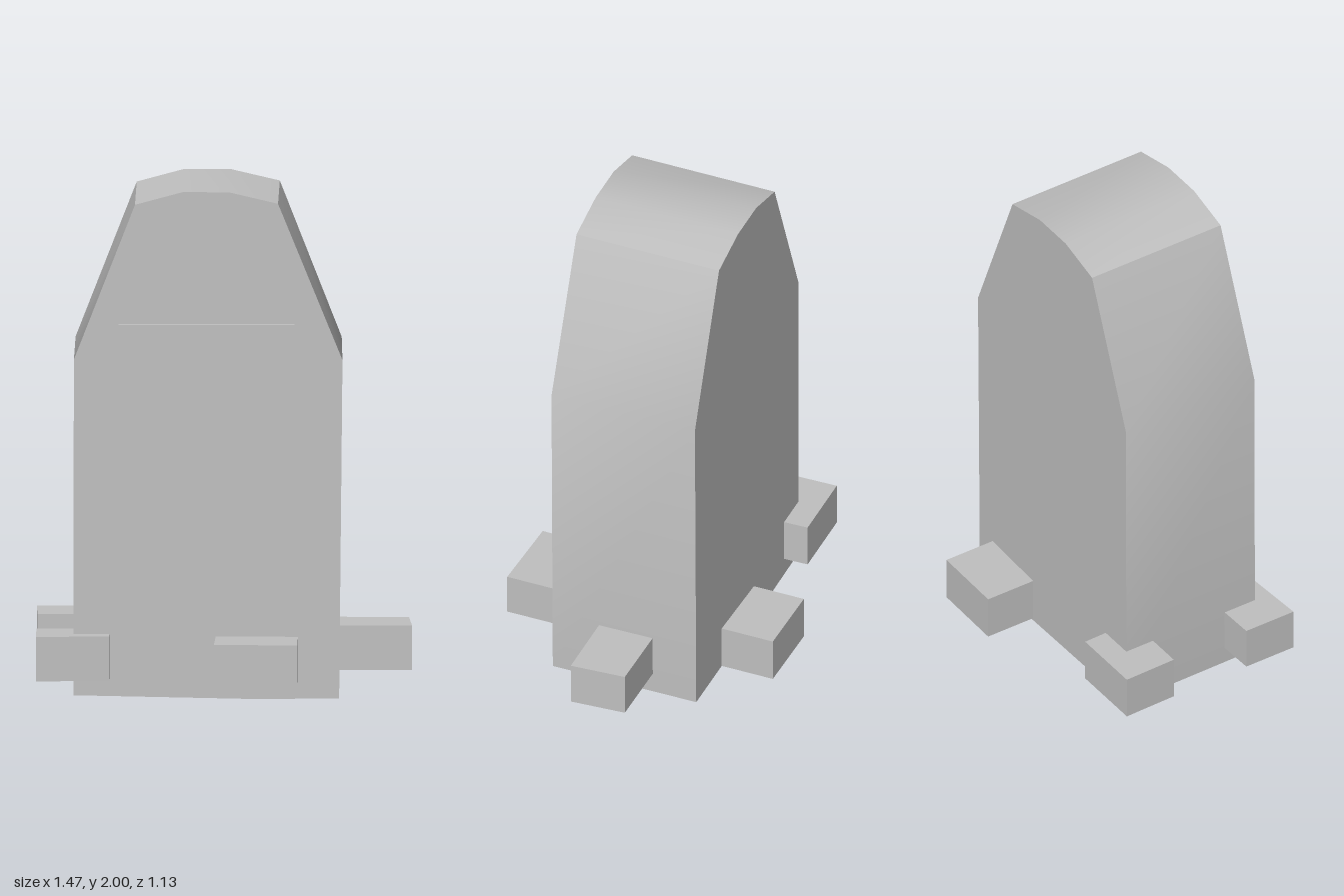
import * as THREE from 'three';
import { toCreasedNormals } from 'three/addons/utils/BufferGeometryUtils.js';

const stone = new THREE.MeshStandardMaterial({ color: 0xc0c0c0 });
stone.name = 'grey stone';

const outline = (pts) => new THREE.Shape(pts.map(([x, y]) => new THREE.Vector2(x, y)));
const extrude = (pts, depth) =>
  new THREE.ExtrudeGeometry(outline(pts), { depth, bevelEnabled: false });

function addPart(group, name, geometry) {
  const mesh = new THREE.Mesh(geometry, stone);
  mesh.name = name;
  group.add(mesh);
  return mesh;
}

// Uneven block: plan corners as [x, z], standing from y0 to y1
function blockGeometry(corners, y0, y1) {
  return extrude(corners.map(([x, z]) => [x, -z]), y1 - y0)
    .rotateX(-Math.PI / 2)
    .translate(0, y0, 0);
}

export function createModel() {
  const model = new THREE.Group();
  model.name = 'stoneMarker';

  // Upright slab with sloped shoulders and a shallow rounded top
  const slab = extrude([
    [-0.585, 0.018], [0.14, 0.004], [0.45, 0.008], [0.463, 1.34], [0.212, 1.955],
    [0.02, 2], [-0.16, 2], [-0.345, 1.95], [-0.583, 1.34],
  ], 0.602).translate(0, 0, -0.302);

  // Slight lean of the underside and taper toward the back
  const pos = slab.attributes.position;
  for (let i = 0; i < pos.count; i++) {
    if (pos.getZ(i) > 0) continue;
    if (pos.getX(i) > 0.4) pos.setX(i, pos.getX(i) - 0.01);
    if (pos.getY(i) < 0.1) pos.setY(i, Math.max(0, pos.getY(i) - 0.006));
  }
  addPart(model, 'slab', toCreasedNormals(slab, 0.6));

  // Raised plaque on the front
  addPart(model, 'plaque', new THREE.BoxGeometry(0.685, 0.51, 0.04))
    .position.set(-0.066, 1.226, 0.306);

  // Loose blocks around the foot
  const blocks = {
    frontBlock: [[[-0.03, 0.325], [0.29, 0.335], [0.29, 0.56], [-0.035, 0.547]], 0.085, 0.255],
    backBlock: [[[-0.012, -0.566], [0.287, -0.561], [0.287, -0.345], [-0.012, -0.355]], 0.085, 0.268],
    leftBlock: [[[0.43, -0.12], [0.717, -0.117], [0.732, 0.105], [0.43, 0.105]], 0.09, 0.265],
    rightFrontBlock: [[[-0.73, 0.163], [-0.443, 0.155], [-0.443, 0.366], [-0.73, 0.384]], 0.085, 0.26],
    rightBackBlock: [[[-0.735, -0.4], [-0.443, -0.4], [-0.437, -0.177], [-0.73, -0.177]], 0.085, 0.265],
  };
  for (const [name, args] of Object.entries(blocks)) addPart(model, name, blockGeometry(...args));

  return model;
}
